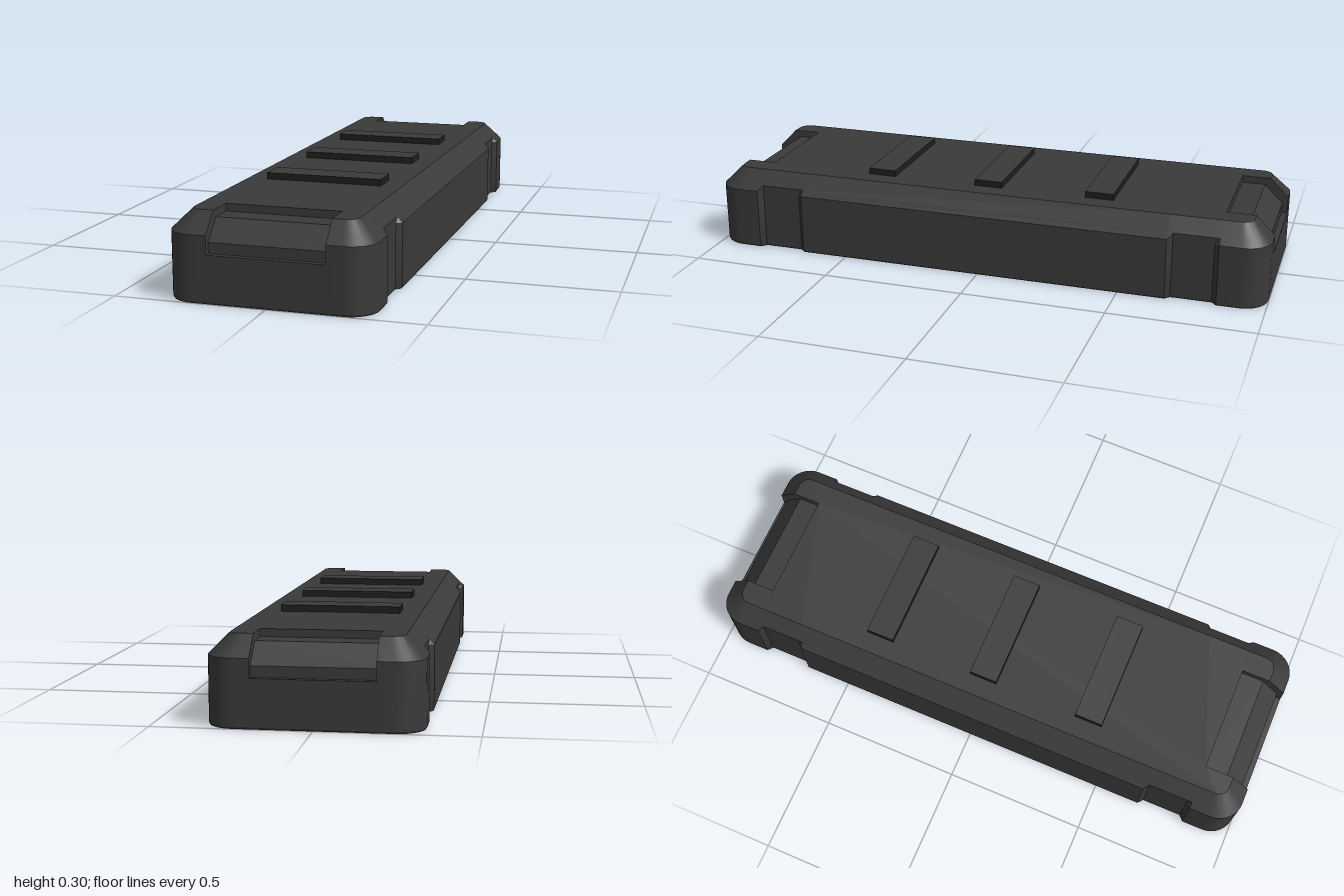
import * as THREE from 'three';
import { toCreasedNormals } from 'three/addons/utils/BufferGeometryUtils.js';

const HALF_W = 0.333, HALF_L = 1;
const WALL = 0.04, INNER_RADIUS = 0.04;   // shell thickness and cavity corner
const NOTCH_X = 0.315, INNER_NOTCH_X = NOTCH_X - WALL;
const TOP = 0.28, CEILING = 0.205;
const RECESS_X = 0.19, RECESS_Y = 0.155, RECESS_Z = 0.835;
const CORNER_STEPS = 8;

// Closed outline, inset from the full footprint; sideLimit clamps x inside the side notches
function outline(inset, r, sideLimit) {
  const x = HALF_W - inset, z = HALF_L - inset;
  const nx = Math.min(x, sideLimit);
  const q = [[x, 0.663], [nx, 0.68], [nx, 0.82], [x, 0.837]];
  for (let i = 0; i <= CORNER_STEPS; i++) {
    const a = (i / CORNER_STEPS) * Math.PI / 2;
    q.push([x - r + r * Math.cos(a), z - r + r * Math.sin(a)]);
  }
  q.push([RECESS_X, z]);
  const mirror = (sx, sz) => q.map(([px, pz]) => [px * sx, pz * sz]);
  return [...mirror(1, 1), ...mirror(-1, 1).reverse(), ...mirror(-1, -1), ...mirror(1, -1).reverse()];
}

function fromTriangles(points) {
  const g = new THREE.BufferGeometry();
  g.setAttribute('position', new THREE.Float32BufferAttribute(points.flat(), 3));
  g.computeVertexNormals();
  return toCreasedNormals(g, 0.45);
}

function flatCap(points, y, up) {
  const g = new THREE.ShapeGeometry(new THREE.Shape(points.map(p => new THREE.Vector2(...p))));
  return g.rotateX(up ? -Math.PI / 2 : Math.PI / 2).translate(0, y, 0);
}

export function createModel() {
  const group = new THREE.Group();
  const body = new THREE.MeshStandardMaterial({ color: 0x3a3a3a, side: THREE.DoubleSide });
  body.name = 'charcoal';
  const dark = new THREE.MeshStandardMaterial({ color: 0x1e1e1e });
  dark.name = 'dark grey';

  const add = (name, geometry, material, parent = group) => {
    const mesh = new THREE.Mesh(geometry, material);
    mesh.name = name;
    parent.add(mesh);
    return mesh;
  };

  // Shell walls: down the inside, across the rim, up the outside [y, inset, corner radius, side limit]
  const levels = [
    [CEILING, WALL, INNER_RADIUS, INNER_NOTCH_X],
    [0, WALL, INNER_RADIUS, INNER_NOTCH_X],
    [0, 0.003, 0.086, NOTCH_X - 0.003],
    [0.006, 0, 0.088, NOTCH_X],
    [RECESS_Y, 0, 0.088, NOTCH_X],
    [0.215, 0, 0.088, NOTCH_X],
    [0.233, 0.018, 0.075, NOTCH_X],
    [TOP, 0.065, 0.04, NOTCH_X],
  ];
  const firstOpenLevel = 4;
  const rings = levels.map(([y, ...spec]) => outline(...spec).map(([x, z]) => [x, y, z]));
  const n = rings[0].length, front = n / 4 - 1, back = 3 * n / 4 - 1;
  const tris = [];
  for (let r = 0; r < rings.length - 1; r++) {
    for (let j = 0; j < n; j++) {
      // leave the end recesses open
      if (r >= firstOpenLevel && (j === front || j === back)) continue;
      const k = (j + 1) % n;
      const a = rings[r][j], b = rings[r][k], c = rings[r + 1][j], d = rings[r + 1][k];
      tris.push(a, c, b, b, c, d);
    }
  }
  add('shellWalls', fromTriangles(tris), body);

  // Flat ceiling of the cavity
  add('cavityCeiling', flatCap(outline(WALL, INNER_RADIUS, INNER_NOTCH_X), CEILING, false), body);

  // Top panel, cut back at both end recesses
  const panel = outline(0.065, 0.04, NOTCH_X);
  panel.splice(back + 1, 0, [-RECESS_X, -RECESS_Z], [RECESS_X, -RECESS_Z]);
  panel.splice(front + 1, 0, [RECESS_X, RECESS_Z], [-RECESS_X, RECESS_Z]);
  add('topPanel', flatCap(panel, TOP, true), body);

  // End recesses: stepped floor and two cheeks, profile as [z, y]
  const floor = [[1, RECESS_Y], [0.98, RECESS_Y], [0.98, 0.19], [0.915, 0.255], [RECESS_Z, 0.255], [RECESS_Z, TOP]];
  const floorTris = [];
  for (let i = 0; i < floor.length - 1; i++) {
    const [z0, y0] = floor[i], [z1, y1] = floor[i + 1];
    const a = [-RECESS_X, y0, z0], b = [RECESS_X, y0, z0], c = [-RECESS_X, y1, z1], d = [RECESS_X, y1, z1];
    floorTris.push(a, b, c, b, d, c);
  }
  const floorGeometry = fromTriangles(floorTris);
  const cheekShape = new THREE.Shape([...floor, [0.935, TOP], [1, 0.215]].map(p => new THREE.Vector2(...p)));
  const cheekGeometry = new THREE.ShapeGeometry(cheekShape).rotateY(-Math.PI / 2);
  for (const [name, turn] of [['frontRecess', 0], ['backRecess', Math.PI]]) {
    const recess = new THREE.Group();
    recess.name = name;
    add('recessFloor', floorGeometry, body, recess);
    for (const s of [-1, 1]) add('recessCheek', cheekGeometry, body, recess).position.x = s * RECESS_X;
    recess.rotation.y = turn;
    group.add(recess);
  }

  // Raised grip bars with dark edges
  const barGeometry = new THREE.BoxGeometry(0.4, 0.022, 0.1);
  for (const z of [-0.4, 0, 0.4]) {
    add('gripBar', barGeometry, [dark, dark, body, dark, dark, dark]).position.set(0, TOP + 0.011, z);
  }
  return group;
}
